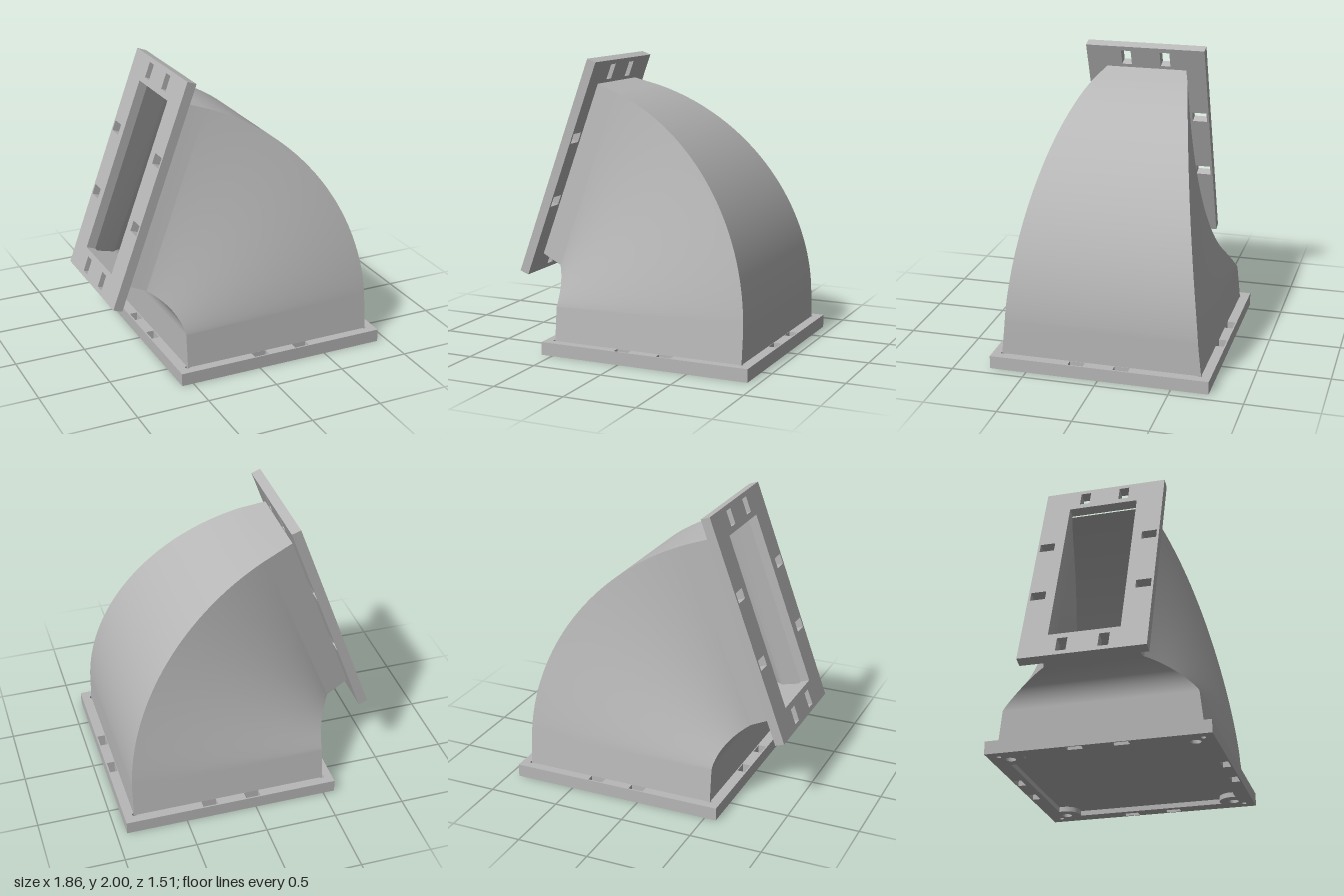
import * as THREE from 'three';

const BEND = THREE.MathUtils.degToRad(70);
const CX = -0.74, CY = 0.32;   // bend centre
const MID = 0.173;             // centre of the base in x
const BASE_H = 0.09;

// Cross-sections of the duct from base to outlet; inset moves the walls inward
function ductSections(inset, insetZ) {
  const list = [];
  const add = (a, ri, ro, w, lift) => {
    const c = Math.cos(a), s = Math.sin(a);
    const at = (r, z) => [CX + r * c - lift * s, CY + r * s + lift * c, z];
    const i = ri + inset, o = ro - inset, h = w - insetZ;
    list.push([at(i, h), at(o, h), at(o, -h), at(i, -h)]);
  };
  add(0, 0.23, 1.6, 0.69, BASE_H - 0.005 - CY);
  const n = 48;
  for (let k = 0; k <= n; k++) {
    const t = k / n;
    add(BEND * t, 0.23, 1.6 - 0.055 * t, 0.665 - 0.33 * Math.pow(t, 1.25), 0);
  }
  add(BEND, 0.23, 1.535, 0.287, 0.175);
  return list;
}

// Four separate strips, smooth along the sweep and sharp at the corners
function ductGeometry(sections, inward) {
  const pos = [], idx = [];
  for (let side = 0; side < 4; side++) {
    const start = pos.length / 3;
    sections.forEach((ring) => pos.push(...ring[side], ...ring[(side + 1) % 4]));
    for (let k = 0; k < sections.length - 1; k++) {
      const a = start + k * 2, b = a + 1, c = a + 3, d = a + 2;
      if (inward) idx.push(a, c, b, a, d, c);
      else idx.push(a, b, c, a, c, d);
    }
  }
  const g = new THREE.BufferGeometry();
  g.setAttribute('position', new THREE.Float32BufferAttribute(pos, 3));
  g.setIndex(idx);
  g.computeVertexNormals();
  return g;
}

function rect(target, x, y, hx, hy) {
  target.moveTo(x - hx, y - hy);
  target.lineTo(x + hx, y - hy);
  target.lineTo(x + hx, y + hy);
  target.lineTo(x - hx, y + hy);
  target.closePath();
  return target;
}

const rectHole = (x, y, hx, hy) => rect(new THREE.Path(), x, y, hx, hy);

function roundHole(x, y, r) {
  const p = new THREE.Path();
  p.absarc(x, y, r, 0, Math.PI * 2, false);
  return p;
}

// Square recess whose corners are cut by round screw bosses
function recessPath(half, boss, r) {
  const p = new THREE.Path();
  const d = half - boss;
  const a = Math.acos(d / r);
  for (let q = 0; q < 4; q++) {
    const rot = q * Math.PI / 2, c = Math.cos(rot), s = Math.sin(rot);
    const bx = boss * (c - s), by = boss * (s + c);
    const a0 = rot - a, a1 = rot + Math.PI / 2 + a - Math.PI * 2;
    const x = bx + r * Math.cos(a0), y = by + r * Math.sin(a0);
    if (q === 0) p.moveTo(x, y); else p.lineTo(x, y);
    p.absarc(bx, by, r, a0, a1, true);
  }
  p.closePath();
  return p;
}

const extrude = (shape, depth) =>
  new THREE.ExtrudeGeometry(shape, { depth, bevelEnabled: false, curveSegments: 20 });

// One layer of the square base flange with its slots and screw holes
function baseLayer(recessed, y0, y1) {
  const shape = rect(new THREE.Shape(), 0, 0, 0.755, 0.755);
  if (recessed) shape.holes.push(recessPath(0.65, 0.62, 0.1));
  for (const u of [-1, 1]) {
    for (const v of [-1, 1]) {
      shape.holes.push(rectHole(u * 0.155, v * 0.7175, 0.0525, 0.0275));
      shape.holes.push(rectHole(v * 0.7175, u * 0.155, 0.0275, 0.0525));
      shape.holes.push(roundHole(u * 0.62, v * 0.62, 0.035));
      shape.holes.push(roundHole(u * 0.682, v * 0.682, 0.017));
    }
  }
  const g = extrude(shape, y1 - y0);
  g.rotateX(-Math.PI / 2);
  g.translate(MID, y0, 0);
  return g;
}

// Tilted rectangular outlet flange
function outletFlange() {
  const shape = rect(new THREE.Shape(), 0, 0, 0.805, 0.428);
  shape.holes.push(rectHole(0, 0, 0.62, 0.242));
  for (const u of [-1, 1]) {
    for (const v of [-1, 1]) {
      shape.holes.push(rectHole(u * 0.24, v * 0.36, 0.0365, 0.052));
      shape.holes.push(rectHole(u * 0.717, v * 0.14, 0.055, 0.035));
    }
  }
  const g = extrude(shape, 0.067);
  const c = Math.cos(BEND), s = Math.sin(BEND);
  const m = new THREE.Matrix4().makeBasis(
    new THREE.Vector3(c, s, 0), new THREE.Vector3(0, 0, -1), new THREE.Vector3(-s, c, 0));
  m.setPosition(-0.595, 1.2225, 0);
  g.applyMatrix4(m);
  return g;
}

export function createModel() {
  const group = new THREE.Group();
  const grey = new THREE.MeshStandardMaterial({ color: 0xb8b8b8 });
  grey.name = 'plain grey';
  const add = (name, geometry) => {
    const mesh = new THREE.Mesh(geometry, grey);
    mesh.name = name;
    group.add(mesh);
  };
  add('ductOuterWall', ductGeometry(ductSections(0, 0), false));
  add('ductInnerWall', ductGeometry(ductSections(0.033, 0.045), true));
  add('baseFlangeRim', baseLayer(true, 0, 0.035));
  add('baseFlangePlate', baseLayer(false, 0.035, BASE_H));
  add('outletFlange', outletFlange());
  return group;
}
